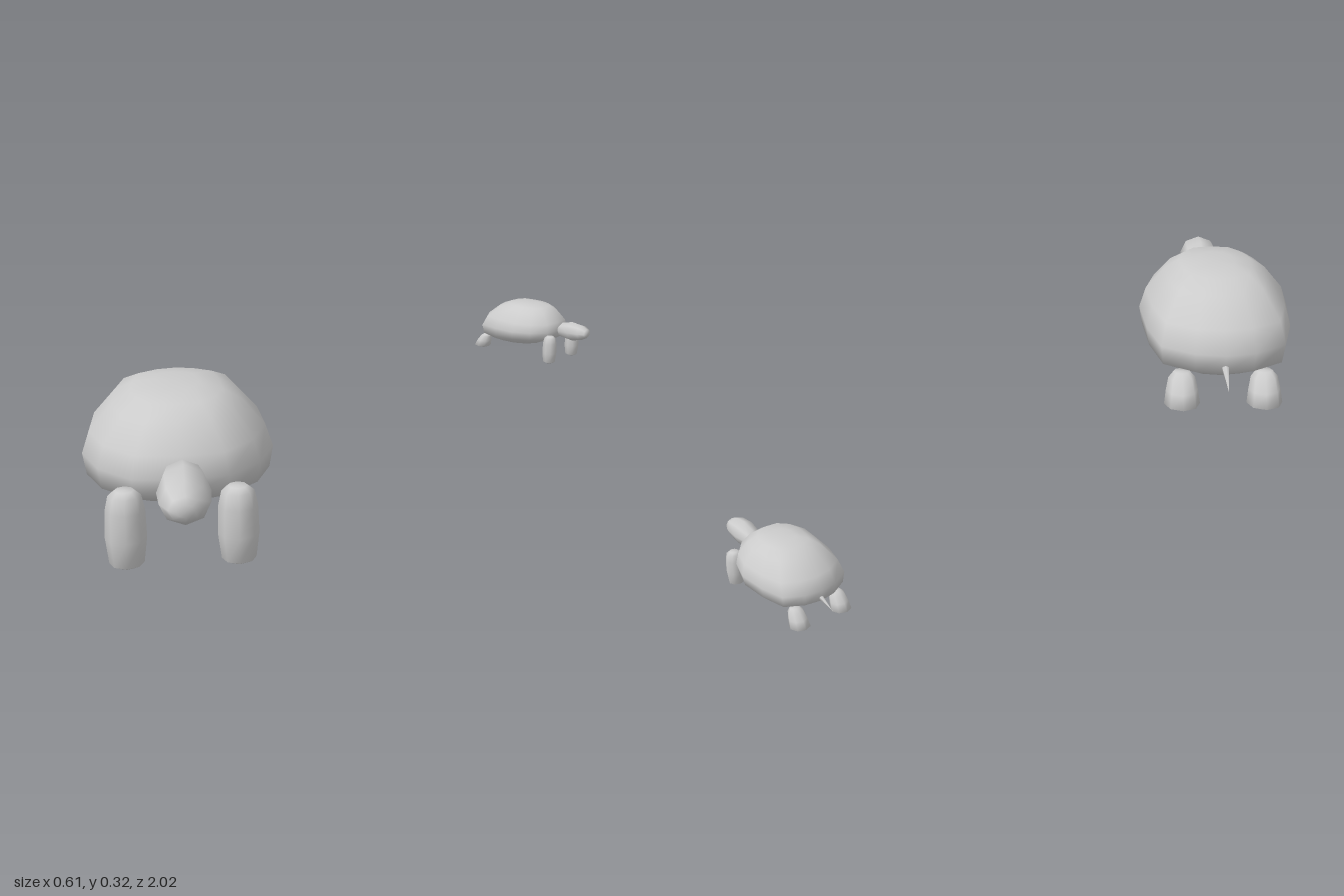
import * as THREE from 'three';

const material = new THREE.MeshStandardMaterial({ color: 0xcccccc });

// Unit outline, counterclockwise seen from above
const round = (n) => Array.from({ length: n }, (_, i) => {
  const a = (i / n) * Math.PI * 2;
  return [Math.sin(a), Math.cos(a)];
});

// Closed smooth loft through rising sections: [y, scaleX, scaleZ, offsetZ, tilt]
function loft(sections, outline) {
  const n = outline.length, pos = [], index = [];
  for (const [y, sx, sz, oz = 0, tilt = 0] of sections)
    for (const [x, z] of outline) pos.push(x * sx, y + tilt * z * sz, z * sz + oz);
  for (let r = 0; r < sections.length - 1; r++)
    for (let i = 0; i < n; i++) {
      const a = r * n + i, b = r * n + (i + 1) % n;
      index.push(a, b, b + n, a, b + n, a + n);
    }
  // End caps
  const first = sections[0], last = sections[sections.length - 1];
  const bottom = pos.length / 3, top = bottom + 1, t = (sections.length - 1) * n;
  pos.push(0, first[0], first[3] ?? 0, 0, last[0], last[3] ?? 0);
  for (let i = 0; i < n; i++) {
    const j = (i + 1) % n;
    index.push(bottom, j, i, top, t + i, t + j);
  }
  const geo = new THREE.BufferGeometry();
  geo.setAttribute('position', new THREE.Float32BufferAttribute(pos, 3));
  geo.setIndex(index);
  geo.computeVertexNormals();
  return geo;
}

function add(group, name, geo, x = 0, y = 0, z = 0) {
  const mesh = new THREE.Mesh(geo, material);
  mesh.name = name;
  mesh.position.set(x, y, z);
  group.add(mesh);
  return mesh;
}

// Turtle facing +z, feet near y = 0
function makeTurtle(name) {
  const turtle = new THREE.Group();
  turtle.name = name;

  // Shell: domed loft over a mirrored plan outline
  const half = [[0.1, 0.25], [0.17, 0.17], [0.205, 0.06], [0.195, -0.08], [0.165, -0.2], [0.08, -0.25]];
  const plan = [[0, 0.265], ...half, [0, -0.264], ...half.map(([x, z]) => [-x, z]).reverse()];
  add(turtle, 'shell', loft([
    [0.09, 0.62, 0.62, -0.02, 0.05],
    [0.132, 0.96, 0.96, 0, 0.06],
    [0.182, 1, 1, 0, 0.04],
    [0.235, 0.92, 0.92, 0.01, 0.02],
    [0.295, 0.68, 0.68, 0.025],
    [0.321, 0.48, 0.48, 0.035],
    [0.33, 0.24, 0.24, 0.03],
  ], plan));

  // Head: lofted upwards, then laid forward
  const head = loft([
    [0.265, 0.024, 0.02, 0.006],
    [0.285, 0.045, 0.044, 0.004],
    [0.36, 0.055, 0.058, 0],
    [0.43, 0.051, 0.046, -0.004],
    [0.467, 0.034, 0.027, -0.005],
    [0.475, 0.018, 0.014, -0.005],
  ], round(8));
  head.rotateX(Math.PI / 2);
  add(turtle, 'head', head, 0.004, 0.205, 0);

  // Legs: tall tapered front pair, short splayed back pair
  const frontLeg = loft([
    [0.015, 0.018, 0.018],
    [0.024, 0.036, 0.036],
    [0.08, 0.043, 0.043],
    [0.14, 0.041, 0.041],
    [0.172, 0.034, 0.034],
    [0.183, 0.02, 0.02],
  ], round(8));
  const backLeg = loft([
    [0.014, 0.02, 0.02, -0.016],
    [0.025, 0.048, 0.05, -0.018],
    [0.06, 0.043, 0.044, -0.006],
    [0.09, 0.036, 0.034, 0.008],
    [0.104, 0.022, 0.02, 0.016],
  ], round(8));
  for (const [side, s] of [['left', 1], ['right', -1]]) {
    add(turtle, side + 'FrontLeg', frontLeg, s * 0.115, 0, 0.281);
    add(turtle, side + 'BackLeg', backLeg, s * 0.11, 0, -0.218);
  }

  // Tail: thin cone sloping back and down
  const tail = new THREE.ConeGeometry(0.014, 0.12, 6);
  tail.rotateX(-Math.PI / 2 - 0.35);
  add(turtle, 'tail', tail, 0, 0.122, -0.282);
  return turtle;
}

export function createModel() {
  const model = new THREE.Group();
  model.name = 'turtles';
  const rad = THREE.MathUtils.degToRad;

  const large = makeTurtle('largeTurtle');
  large.position.set(-0.03, 0, 0.632);
  large.rotation.y = rad(40);

  const small = makeTurtle('smallTurtle');
  small.scale.setScalar(0.47);
  small.position.set(0.033, 0, -0.911);
  small.rotation.y = rad(80);

  model.add(large, small);
  return model;
}
